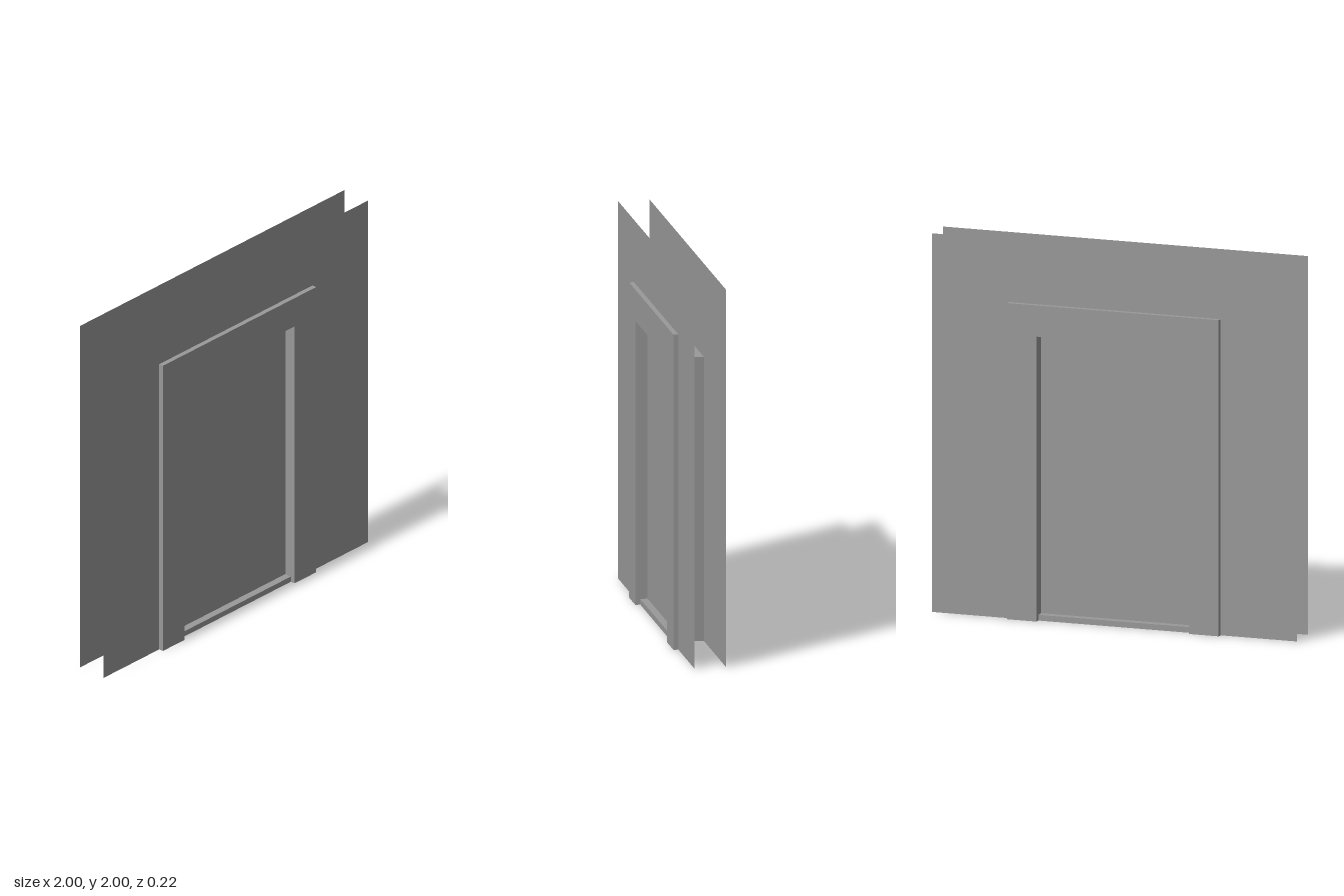
import * as THREE from 'three';

const HALF = 0.417;      // half width of the doorway
const TOP = 1.505;       // height of the doorway
const WALL_Z = 0.083;    // half thickness of the wall
const CASING = 0.026;    // casing thickness
const SILL = 0.03;       // sill height

// Upside-down U outline standing on y = 0
function portal(outerX, outerY, innerX, innerY) {
  return new THREE.Shape([
    [-outerX, 0], [-innerX, 0], [-innerX, innerY], [innerX, innerY],
    [innerX, 0], [outerX, 0], [outerX, outerY], [-outerX, outerY],
  ].map(([x, y]) => new THREE.Vector2(x, y)));
}

export function createModel() {
  const model = new THREE.Group();
  model.name = 'doorway';
  const grey = new THREE.MeshStandardMaterial({ color: 0x999999, side: THREE.DoubleSide });
  grey.name = 'grey';

  function add(name, geometry, x = 0, y = 0, z = 0, parent = model) {
    const mesh = new THREE.Mesh(geometry, grey);
    mesh.name = name;
    mesh.position.set(x, y, z);
    parent.add(mesh);
    return mesh;
  }

  // Wall skin and raised casing, the same on both sides
  const wall = new THREE.ShapeGeometry(portal(1, 2, 0.5, 1.588));
  const casing = new THREE.ExtrudeGeometry(portal(0.58, 1.67, HALF, TOP), {
    depth: CASING, bevelEnabled: false,
  });
  for (const [name, turn] of [['front', 0], ['back', Math.PI]]) {
    const side = new THREE.Group();
    side.name = name + 'Side';
    side.rotation.y = turn;
    model.add(side);
    add(name + 'Wall', wall, 0, 0, WALL_Z, side);
    add(name + 'Casing', casing, 0, 0, WALL_Z, side);
  }

  // Thin lining around the opening
  for (const [name, s] of [['left', 1], ['right', -1]]) {
    const jamb = new THREE.PlaneGeometry(2 * WALL_Z, TOP).rotateY(s * Math.PI / 2);
    add(name + 'Jamb', jamb, s * HALF, TOP / 2, 0);
  }
  add('headLining', new THREE.PlaneGeometry(2 * HALF, 2 * WALL_Z).rotateX(-Math.PI / 2), 0, TOP, 0);

  // Sill: a shallow channel open underneath
  add('sillTop', new THREE.PlaneGeometry(2 * HALF, 2 * WALL_Z).rotateX(-Math.PI / 2), 0, SILL, 0);
  for (const [name, s] of [['front', 1], ['back', -1]]) {
    const lip = new THREE.PlaneGeometry(2 * HALF, SILL).rotateY(s > 0 ? 0 : Math.PI);
    add(name + 'SillEdge', lip, 0, SILL / 2, s * WALL_Z);
  }

  // Door leaf
  add('door', new THREE.BoxGeometry(2 * HALF - 0.004, TOP - SILL - 0.002, 0.09), 0.002, (TOP + SILL) / 2, 0);

  return model;
}
